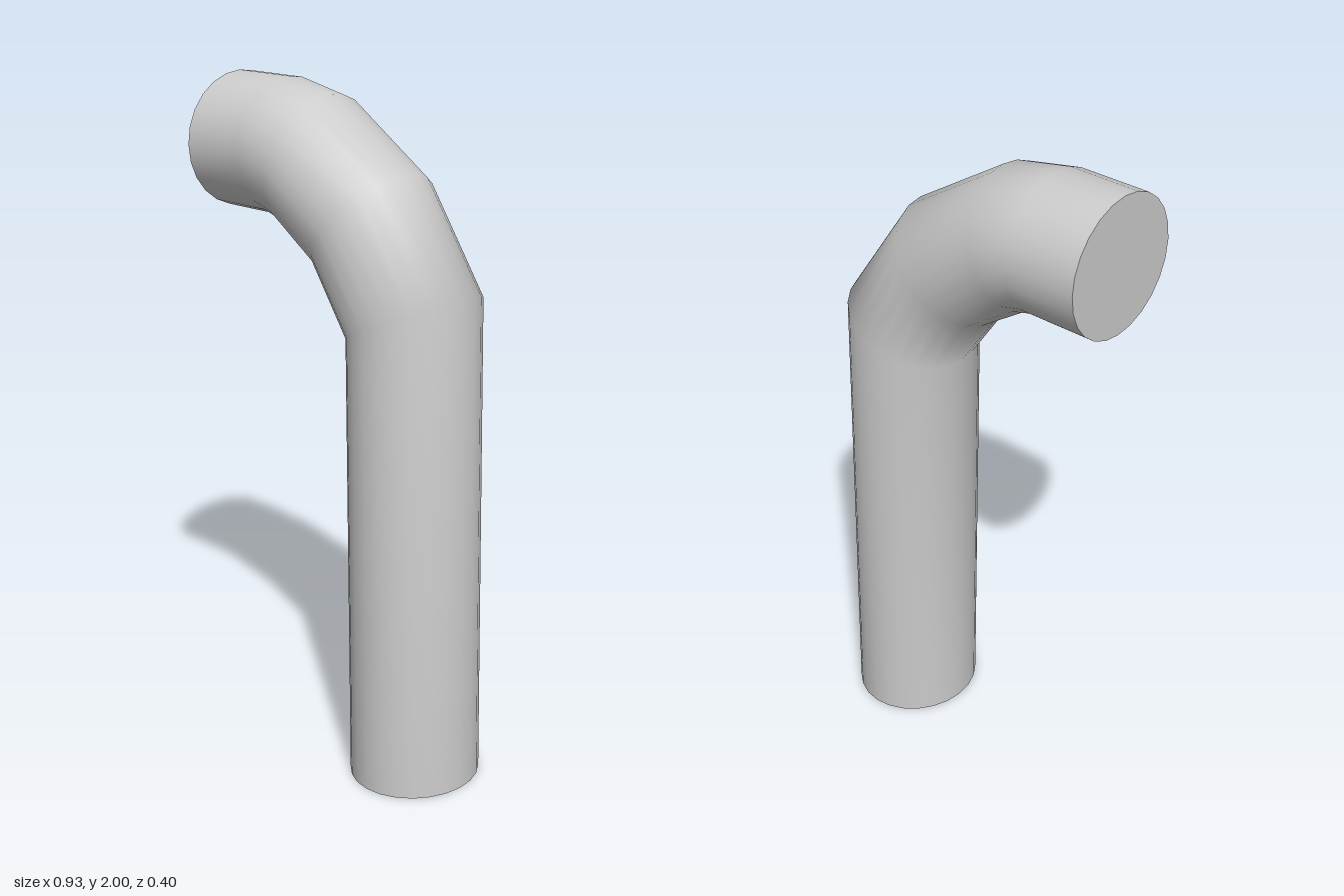
import * as THREE from 'three';

const SIDES = 24;
const HALF_DEPTH = 0.2;

// Elliptical cross-sections along the bend: [outer x, outer y, inner x, inner y]
const SECTIONS = [
  [-0.465, 2.0, -0.465, 1.603],
  [-0.25, 2.0, -0.25, 1.603],
  [-0.075, 1.965, -0.2, 1.588],
  [0.222, 1.775, -0.045, 1.483],
  [0.436, 1.467, 0.077, 1.304],
  [0.465, 0, 0.097, 0],
];

function ringPoints([ox, oy, ix, iy]) {
  const points = [];
  for (let j = 0; j < SIDES; j++) {
    const a = (j / SIDES) * Math.PI * 2;
    const c = Math.cos(a) / 2;
    points.push((ox + ix) / 2 + (ox - ix) * c, (oy + iy) / 2 + (oy - iy) * c, HALF_DEPTH * Math.sin(a));
  }
  return points;
}

function makeGeometry(positions, index) {
  const g = new THREE.BufferGeometry();
  g.setAttribute('position', new THREE.Float32BufferAttribute(positions, 3));
  g.setIndex(index);
  g.computeVertexNormals();
  return g;
}

// Smooth wall joining neighbouring cross-sections
function wallGeometry() {
  const index = [];
  for (let i = 0; i < SECTIONS.length - 1; i++) {
    for (let j = 0; j < SIDES; j++) {
      const k = (j + 1) % SIDES;
      const a = i * SIDES + j, b = i * SIDES + k;
      index.push(a, b, a + SIDES, b, b + SIDES, a + SIDES);
    }
  }
  return makeGeometry(SECTIONS.flatMap(ringPoints), index);
}

// Flat disc closing one end
function capGeometry(section, flip) {
  const index = [];
  for (let j = 1; j < SIDES - 1; j++) index.push(0, flip ? j + 1 : j, flip ? j : j + 1);
  return makeGeometry(ringPoints(section), index);
}

export function createModel() {
  const group = new THREE.Group();
  group.name = 'bentPipe';
  const material = new THREE.MeshStandardMaterial({ color: 0xcccccc });
  const add = (name, geometry) => {
    const mesh = new THREE.Mesh(geometry, material);
    mesh.name = name;
    group.add(mesh);
  };
  add('pipeWall', wallGeometry());
  add('upperEndCap', capGeometry(SECTIONS[0], true));
  add('bottomEndCap', capGeometry(SECTIONS[SECTIONS.length - 1], false));
  return group;
}
